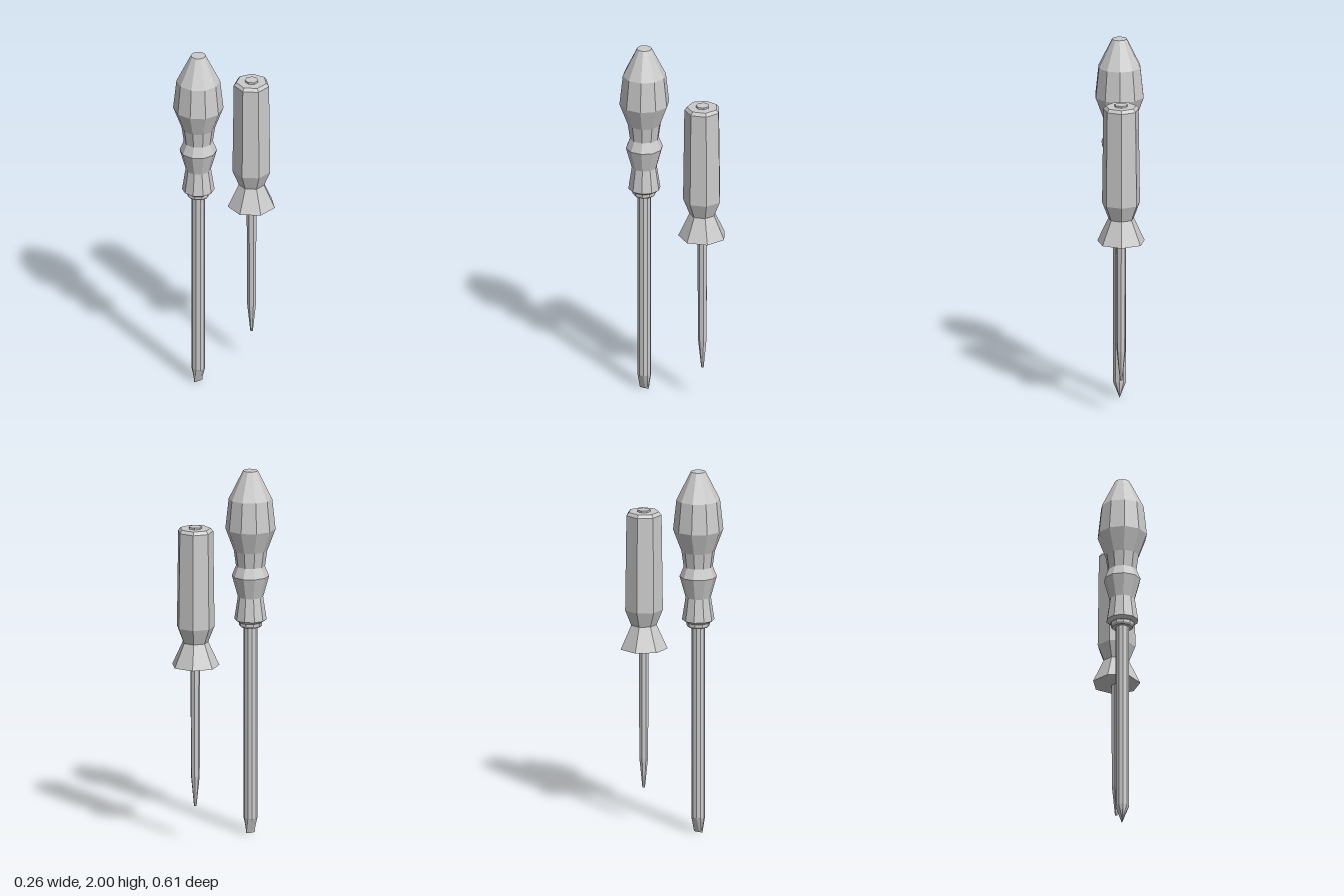
import * as THREE from 'three';

const material = new THREE.MeshStandardMaterial({ color: 0xcccccc, flatShading: true });

// Faceted turned part: profile of [radius, y] from bottom to top, one corner at angle phi
function turned(name, profile, sides, phi) {
  const points = profile.map(([r, y]) => new THREE.Vector2(r, y));
  const mesh = new THREE.Mesh(new THREE.LatheGeometry(points, sides, phi), material);
  mesh.name = name;
  return mesh;
}

function createFlatScrewdriver() {
  const tool = new THREE.Group();
  tool.name = 'flatScrewdriver';
  const sides = 10;

  // Bulbous handle with two waists
  tool.add(turned('flatHandle', [
    [0, 1.165], [0.065, 1.165], [0.087, 1.18], [0.068, 1.305], [0.1, 1.42], [0.078, 1.475],
    [0.09, 1.56], [0.135, 1.68], [0.117, 1.845], [0.04, 2], [0, 2],
  ], sides, 0));
  tool.add(turned('flatCollar', [[0, 1.14], [0.056, 1.14], [0.063, 1.15], [0.063, 1.17], [0, 1.17]], sides, 0));
  tool.add(turned('flatShaft', [[0.037, 0.085], [0.037, 1.15]], sides, 0));

  // Blade: lower ring squeezed into a thin edge along z
  const blade = new THREE.CylinderGeometry(0.037, 0.037, 0.08, sides);
  blade.translate(0, 0.045, 0);
  const p = blade.attributes.position;
  for (let i = 0; i < p.count; i++) {
    if (p.getY(i) < 0.04) p.setXYZ(i, p.getX(i) * 0.06, 0, p.getZ(i) * 0.72);
  }
  const tip = new THREE.Mesh(blade, material);
  tip.name = 'flatBlade';
  tool.add(tip);

  tool.position.z = 0.171;
  return tool;
}

function createPointedScrewdriver() {
  const tool = new THREE.Group();
  tool.name = 'pointedScrewdriver';
  const sides = 7;

  // Straight handle with a waist and flared guard
  tool.add(turned('pointedHandle', [
    [0, 0.958], [0.075, 0.958], [0.13, 0.97], [0.07, 1.1], [0.104, 1.185],
    [0.097, 1.71], [0.083, 1.727], [0, 1.727],
  ], sides, Math.PI));
  tool.add(turned('endButton', [[0.036, 1.72], [0.036, 1.737], [0, 1.737]], sides, Math.PI));

  // Slim shaft tapering to a point
  tool.add(turned('pointedShaft', [
    [0, 0.195], [0.007, 0.195], [0.024, 0.36], [0.027, 0.97],
  ], sides, Math.PI));

  tool.position.z = -0.178;
  return tool;
}

export function createModel() {
  const model = new THREE.Group();
  model.name = 'screwdriverPair';
  model.add(createFlatScrewdriver(), createPointedScrewdriver());
  return model;
}
